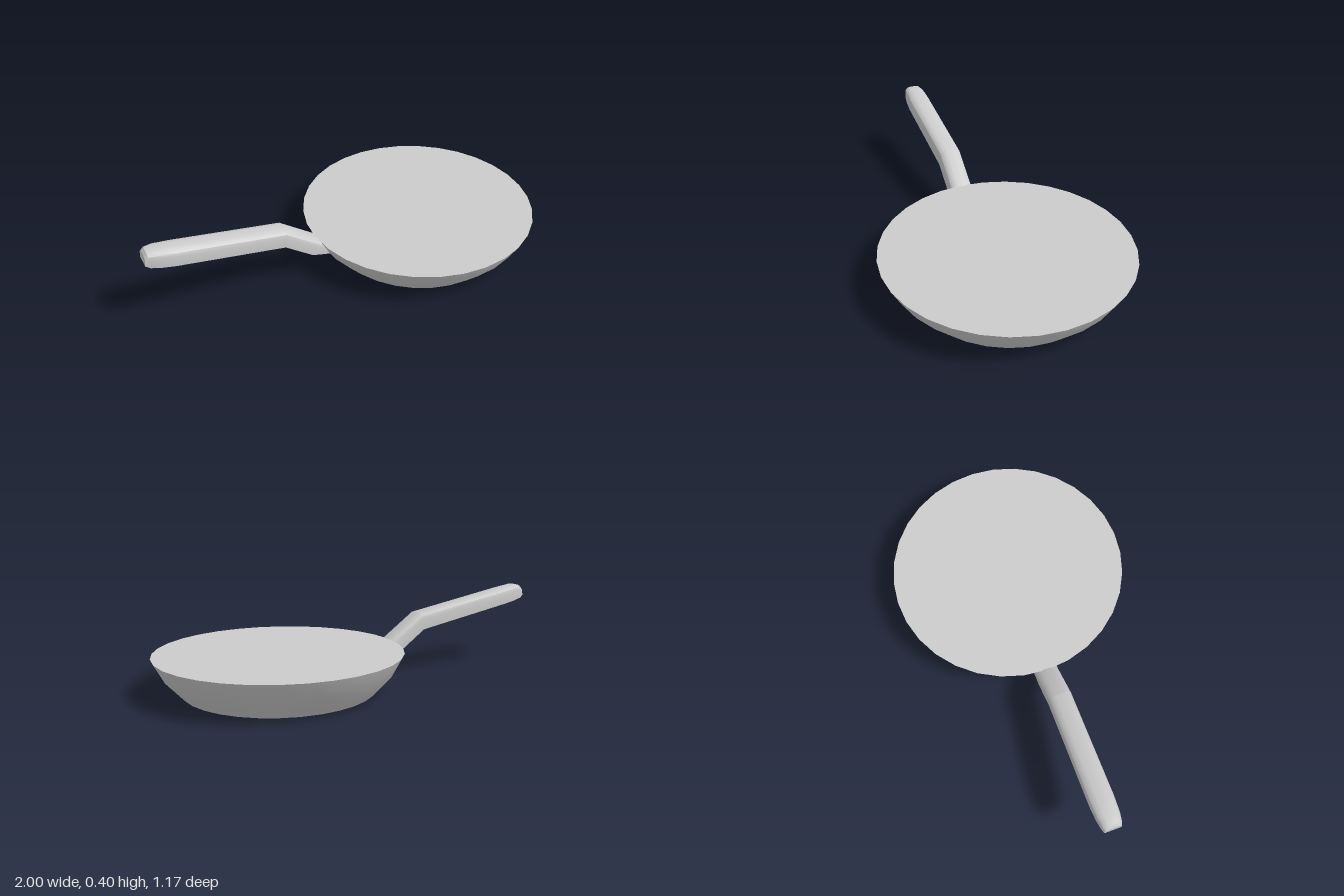
import * as THREE from 'three';
import { toCreasedNormals } from 'three/addons/utils/BufferGeometryUtils.js';

// Arched cross-section with a flat underside: [share of half width, share of height]
const ARCH = [[-1, 0], [1, 0], [1, 0.62], [0.92, 0.8], [0.72, 0.93], [0.38, 1],
  [-0.38, 1], [-0.72, 0.93], [-0.92, 0.8], [-1, 0.62]];

// Stations along the handle: bottom x, bottom y, top x, top y, half width
const STATIONS = [
  [-1.0, 0.347, -0.995, 0.388, 0.040],
  [-0.98, 0.334, -0.982, 0.402, 0.046],
  [-0.935, 0.323, -0.945, 0.404, 0.053],
  [-0.87, 0.311, -0.86, 0.391, 0.057],
  [-0.355, 0.22, -0.34, 0.302, 0.057],
  [-0.215, 0.12, -0.165, 0.178, 0.057],
  [-0.12, 0.095, -0.12, 0.15, 0.057],
];

// Joins the cross-sections into one closed solid
function loft(stations, section) {
  const n = section.length, pos = [], index = [];
  for (const [bx, by, tx, ty, w] of stations)
    for (const [u, v] of section)
      pos.push(bx + (tx - bx) * v, by + (ty - by) * v, u * w);
  for (let s = 0; s < stations.length - 1; s++)
    for (let i = 0; i < n; i++) {
      const a = s * n + i, b = s * n + (i + 1) % n;
      index.push(a, b, a + n, b, b + n, a + n);
    }
  const last = (stations.length - 1) * n;
  for (let i = 1; i < n - 1; i++) {
    index.push(0, i + 1, i);
    index.push(last, last + i, last + i + 1);
  }
  const g = new THREE.BufferGeometry();
  g.setAttribute('position', new THREE.Float32BufferAttribute(pos, 3));
  g.setIndex(index);
  return g;
}

export function createModel() {
  const group = new THREE.Group();
  group.name = 'fryingPan';
  const material = new THREE.MeshStandardMaterial({ color: 0xcccccc, side: THREE.DoubleSide });
  const add = (name, geometry) => {
    const mesh = new THREE.Mesh(toCreasedNormals(geometry, 0.5), material);
    mesh.name = name;
    group.add(mesh);
    return mesh;
  };

  // Flared bowl, closed by a flat top
  const profile = [[0, 0], [0.455, 0], [0.54, 0.092], [0.587, 0.18], [0, 0.18]]
    .map(([r, y]) => new THREE.Vector2(r, y));
  add('panBody', new THREE.LatheGeometry(profile, 32)).position.x = 0.413;

  // Bent handle with a rounded tip
  add('handle', loft(STATIONS, ARCH));
  return group;
}
